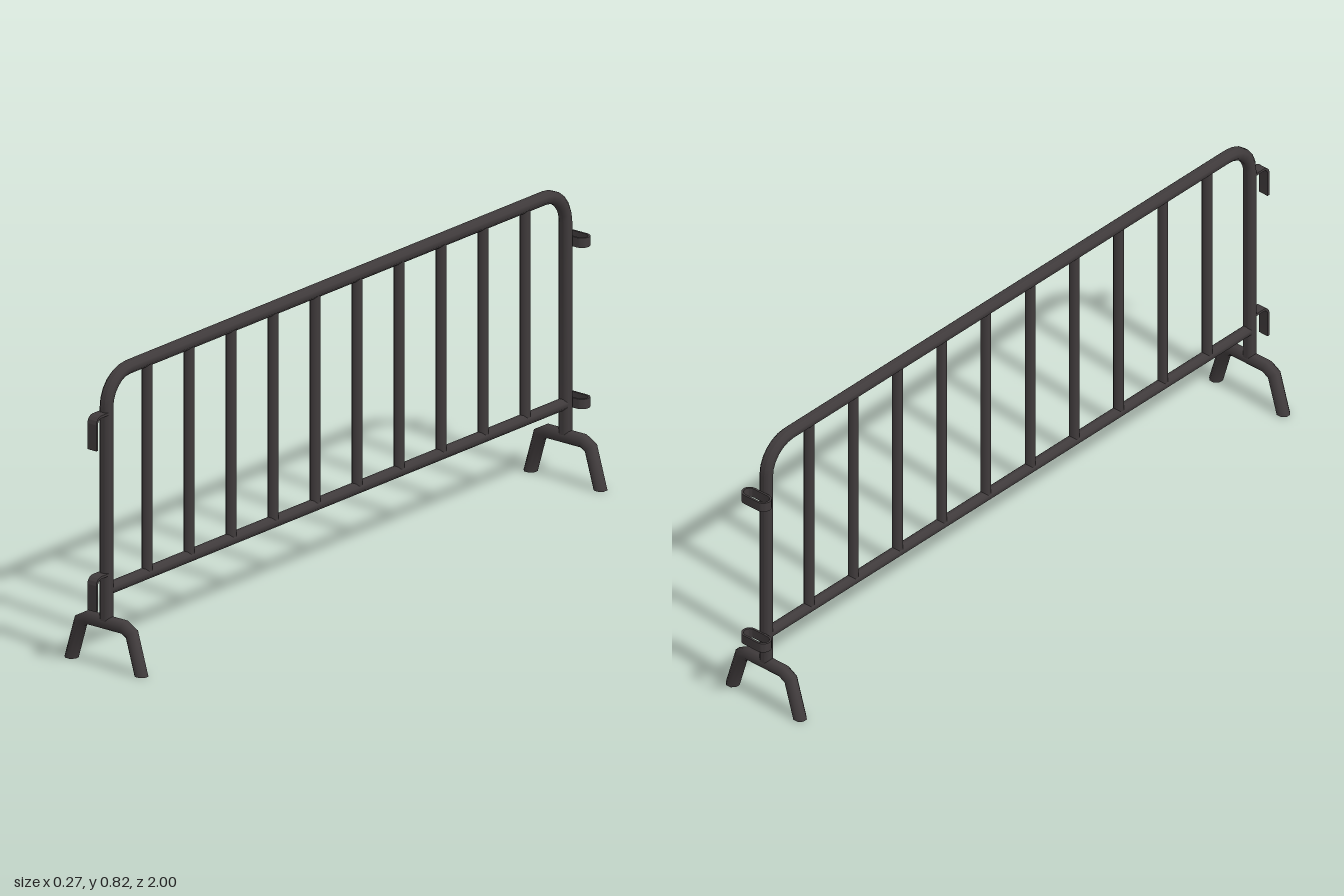
import * as THREE from 'three';
import { toCreasedNormals } from 'three/addons/utils/BufferGeometryUtils.js';

const SIDES = 8;
const steel = new THREE.MeshStandardMaterial({ color: 0x403b3c });
steel.name = 'dark steel';

function part(name, geometry, parent) {
  const mesh = new THREE.Mesh(geometry, steel);
  mesh.name = name;
  parent.add(mesh);
  return mesh;
}

// Mitred octagonal pipe along a path in the XY plane; both ends are cut level
function pipe(points, r) {
  const n = points.length;
  const perps = points.slice(1).map((p, i) => {
    const t = p.clone().sub(points[i]).normalize();
    return new THREE.Vector2(-t.y, t.x);
  });
  const rings = points.map((p, i) => {
    const a = perps[Math.max(i - 1, 0)], b = perps[Math.min(i, n - 2)];
    const m = i === 0 || i === n - 1
      ? new THREE.Vector2(Math.sign(a.x) || 1, 0)
      : a.clone().add(b).normalize();
    m.divideScalar(m.dot(a));
    return Array.from({ length: SIDES }, (_, j) => {
      const ang = ((j + 0.5) / SIDES) * Math.PI * 2;
      const c = Math.cos(ang) * r;
      return [p.x + m.x * c, p.y + m.y * c, Math.sin(ang) * r];
    });
  });
  const pos = [];
  const tri = (...v) => v.forEach((q) => pos.push(...q));
  const first = [points[0].x, points[0].y, 0];
  const last = [points[n - 1].x, points[n - 1].y, 0];
  for (let j = 0; j < SIDES; j++) {
    const k = (j + 1) % SIDES;
    for (let i = 0; i < n - 1; i++) {
      tri(rings[i][j], rings[i][k], rings[i + 1][k]);
      tri(rings[i][j], rings[i + 1][k], rings[i + 1][j]);
    }
    tri(first, rings[0][k], rings[0][j]);
    tri(last, rings[n - 1][j], rings[n - 1][k]);
  }
  const g = new THREE.BufferGeometry();
  g.setAttribute('position', new THREE.Float32BufferAttribute(pos, 3));
  return toCreasedNormals(g, 1.05);
}

// Stadium outline, used for the linking loops
function stadium(PathType, halfX, halfY) {
  const s = new PathType();
  const c = halfX - halfY;
  s.moveTo(-c, -halfY);
  s.lineTo(c, -halfY);
  s.absarc(c, 0, halfY, -Math.PI / 2, Math.PI / 2, false);
  s.lineTo(-c, halfY);
  s.absarc(-c, 0, halfY, Math.PI / 2, Math.PI * 1.5, false);
  return s;
}

function extrude(shape, depth) {
  const g = new THREE.ExtrudeGeometry(shape, { depth, bevelEnabled: false, curveSegments: 8 });
  g.translate(0, 0, -depth / 2);
  return toCreasedNormals(g, 0.7);
}

export function createModel() {
  const barrier = new THREE.Group();
  barrier.name = 'crowdBarrier';
  const endZ = 0.94, topY = 0.804, railY = 0.213, bend = 0.088;

  // Bent outer frame: two posts and the top rail in one pipe
  const framePath = [new THREE.Vector2(-endZ, 0.122)];
  for (const side of [-1, 1]) {
    for (let i = 0; i <= 6; i++) {
      const a = side < 0 ? Math.PI - (i / 6) * Math.PI / 2 : Math.PI / 2 - (i / 6) * Math.PI / 2;
      framePath.push(new THREE.Vector2(
        side * (endZ - bend) + Math.cos(a) * bend,
        topY - bend + Math.sin(a) * bend));
    }
  }
  framePath.push(new THREE.Vector2(endZ, 0.122));
  part('outerFrame', pipe(framePath, 0.0185).rotateY(-Math.PI / 2), barrier);

  // Lower rail
  const rail = new THREE.CylinderGeometry(0.0165, 0.0165, endZ * 2, SIDES);
  rail.rotateY(Math.PI / 8).rotateX(Math.PI / 2);
  part('lowerRail', rail, barrier).position.y = railY;

  // Ten upright bars
  const bar = new THREE.CylinderGeometry(0.0148, 0.0148, topY - railY, SIDES);
  bar.rotateY(Math.PI / 8);
  for (let i = 0; i < 10; i++) {
    part('uprightBar', bar, barrier).position.set(0, (topY + railY) / 2, (i - 4.5) * 0.172);
  }

  // Splayed feet
  const half = [[0.118, 0], [0.086, 0.108], [0.061, 0.122]];
  const footPath = [
    ...half.map(([x, y]) => new THREE.Vector2(-x, y)),
    ...half.reverse().map(([x, y]) => new THREE.Vector2(x, y)),
  ];
  const foot = pipe(footPath, 0.0187);
  for (const z of [-endZ, endZ]) part('foot', foot, barrier).position.z = z;

  // Hooks on the front post, bent from flat strip
  const t = 0.007, R = 0.022, drop = 0.093;
  const hookShape = new THREE.Shape();
  hookShape.moveTo(0.95, 0);
  hookShape.lineTo(0.95, -t);
  hookShape.lineTo(1 - R, -t);
  hookShape.absarc(1 - R, -R, R - t, Math.PI / 2, 0, true);
  hookShape.lineTo(1 - t, -drop);
  hookShape.lineTo(1, -drop);
  hookShape.lineTo(1, -R);
  hookShape.absarc(1 - R, -R, R, 0, Math.PI / 2, false);
  const hook = extrude(hookShape, 0.03).rotateY(-Math.PI / 2);

  // Oval loops on the back post that receive the hooks
  const loopShape = stadium(THREE.Shape, 0.046, 0.022);
  loopShape.holes.push(stadium(THREE.Path, 0.04, 0.016));
  const loop = extrude(loopShape, 0.027).rotateX(Math.PI / 2);

  for (const y of [0.262, 0.707]) part('hook', hook, barrier).position.y = y;
  for (const y of [0.212, 0.658]) part('linkLoop', loop, barrier).position.set(0, y, -0.978);

  return barrier;
}
